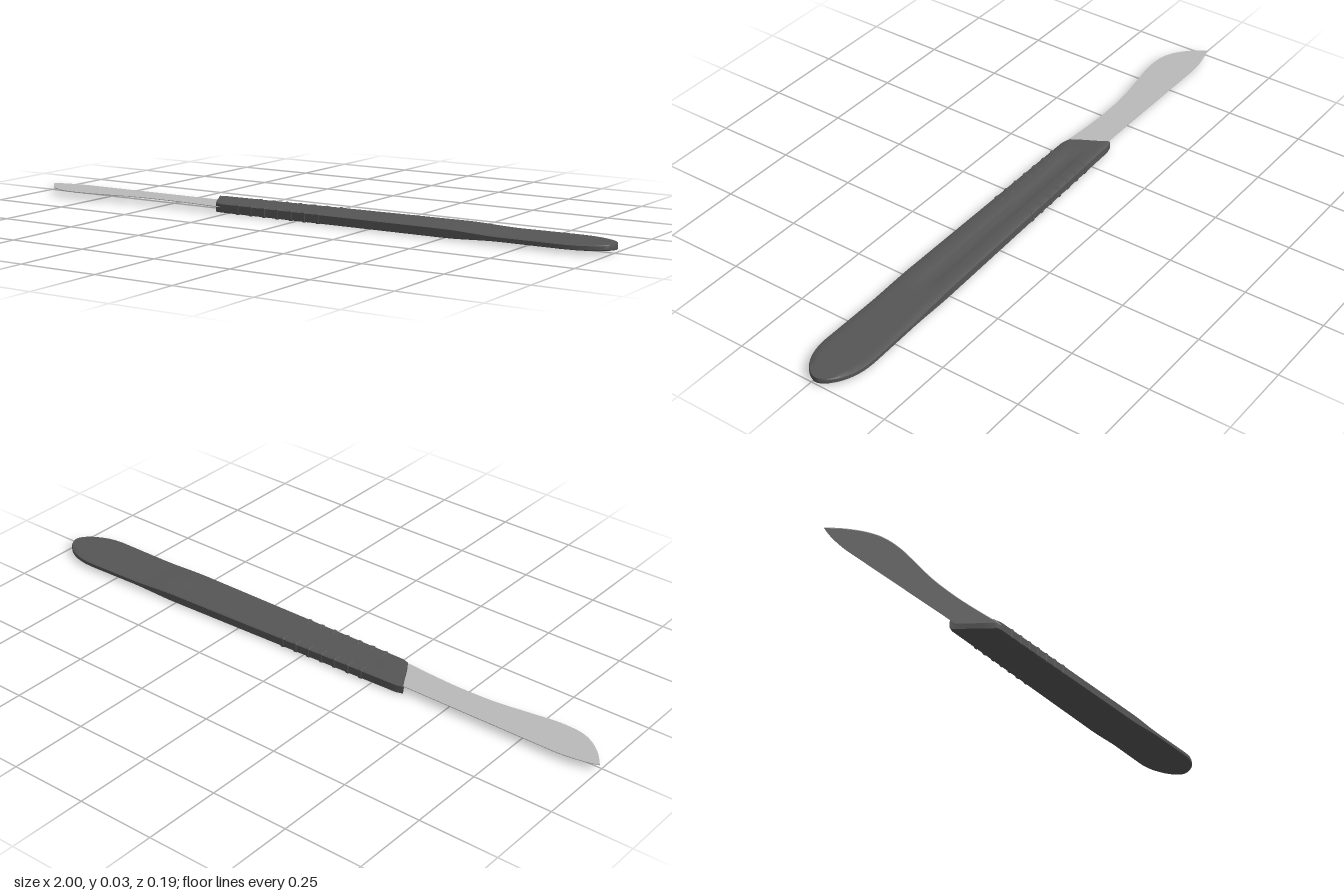
import * as THREE from 'three';
import { toCreasedNormals } from 'three/addons/utils/BufferGeometryUtils.js';
import { RoundedBoxGeometry } from 'three/addons/geometries/RoundedBoxGeometry.js';

const MID = 0.016; // height of the handle's middle plane
const { lerp, smoothstep, clamp } = THREE.MathUtils;

// Handle outline seen from above: back and front edge at x
const taper = (x) => clamp((x + 0.36) / 1.2, 0, 1);
function edges(x) {
  const k = clamp((x - 0.86) / 0.14, 0, 1);
  const w = Math.pow(Math.max(1 - k * k, 0.002), 0.55); // rounded butt
  const back = lerp(-0.056, -0.096, taper(x));
  const front = lerp(0.069, 0.066, taper(x));
  const c = -0.015;
  return [c + (back - c) * w, c + (front - c) * w];
}

// Half thickness: full grip, thinner butt, shallow thumb groove along the middle
function halfHeight(x, s) {
  let h = lerp(0.0148, 0.0085, smoothstep(x, 0.5, 0.68));
  const along = smoothstep(x, -0.3, -0.24) * (1 - smoothstep(x, 0.48, 0.58));
  const across = 1 - smoothstep(Math.abs(s - 0.48), 0.1, 0.2);
  h -= 0.0035 * along * across;
  return h - 0.003 * (1 - smoothstep(Math.min(s, 1 - s), 0, 0.05));
}

function handleGeometry() {
  const across = [0, 0.02, 0.05, 0.15, 0.28, 0.33, 0.38, 0.48, 0.58, 0.63, 0.68, 0.8, 0.95, 0.98, 1];
  const stations = [];
  for (let i = 0; i <= 56; i++) stations.push(lerp(-0.36, 0.86, i / 56));
  for (let i = 1; i <= 14; i++) stations.push(0.86 + 0.14 * Math.sin((i / 14) * Math.PI / 2));

  const pos = [], index = [];
  const n = across.length * 2;
  for (const x of stations) {
    const [back, front] = edges(x);
    const slant = 0.068 * (1 - smoothstep(x, -0.36, 0.1)); // oblique nose
    const corner = 1 - smoothstep(x, -0.36, -0.34);
    const ring = (s, side) => {
      const inset = corner * 0.006 * Math.pow(Math.abs(2 * s - 1), 3) * Math.sign(0.5 - s);
      pos.push(x + slant * s, MID + side * halfHeight(x, s), lerp(back, front, s) + inset);
    };
    across.forEach((s) => ring(s, 1));
    [...across].reverse().forEach((s) => ring(s, -1));
  }
  for (let i = 0; i < stations.length - 1; i++) {
    for (let j = 0; j < n; j++) {
      const a = i * n + j, b = i * n + (j + 1) % n;
      index.push(a, b, a + n, b, b + n, a + n);
    }
  }
  // End caps, bridging the top row to the bottom row
  const last = (stations.length - 1) * n;
  for (let j = 0; j < across.length - 1; j++) {
    const p = j, q = j + 1, r = n - 2 - j, t = n - 1 - j;
    index.push(p, r, q, p, t, r);
    index.push(last + p, last + q, last + r, last + p, last + r, last + t);
  }
  const g = new THREE.BufferGeometry();
  g.setAttribute('position', new THREE.Float32BufferAttribute(pos, 3));
  g.setIndex(index);
  return toCreasedNormals(g, 0.6);
}

// Thin blade: straight spine, curved belly, pointed tip
function bladeGeometry() {
  const s = new THREE.Shape();
  s.moveTo(-1, 0.012);
  s.quadraticCurveTo(-0.95, 0.032, -0.87, 0.037);
  s.lineTo(-0.2, 0.037);
  s.lineTo(-0.2, -0.06);
  s.lineTo(-0.29, -0.07);
  s.splineThru([[-0.4, -0.062], [-0.5, -0.059], [-0.61, -0.064], [-0.72, -0.08], [-0.8, -0.091],
    [-0.87, -0.089], [-0.92, -0.07], [-0.965, -0.033], [-1, 0.012]].map((p) => new THREE.Vector2(...p)));
  const g = new THREE.ExtrudeGeometry(s, { depth: 0.002, bevelEnabled: false, curveSegments: 40 });
  g.rotateX(-Math.PI / 2);
  return g.translate(0, 0.018, 0);
}

export function createModel() {
  const model = new THREE.Group();
  const plastic = new THREE.MeshStandardMaterial({ color: 0x565656 });
  plastic.name = 'dark grey handle';
  const steel = new THREE.MeshStandardMaterial({ color: 0xbababa });
  steel.name = 'light grey steel';

  const add = (name, geometry, material, parent = model) => {
    const mesh = new THREE.Mesh(geometry, material);
    mesh.name = name;
    parent.add(mesh);
    return mesh;
  };
  add('handle', handleGeometry(), plastic);
  add('blade', bladeGeometry(), steel);

  // Grip ribs along both edges of the handle
  const ribs = new THREE.Group();
  ribs.name = 'gripRibs';
  model.add(ribs);
  const ribGeometry = new RoundedBoxGeometry(0.014, 0.0316, 0.03, 2, 0.004);
  for (let i = 0; i < 7; i++) {
    const x = -0.21 + i * 0.048;
    const [back, front] = edges(x);
    add('backRib', ribGeometry, plastic, ribs).position.set(x, MID, back + 0.0135);
    add('frontRib', ribGeometry, plastic, ribs).position.set(x, MID, front - 0.0135);
  }
  return model;
}
